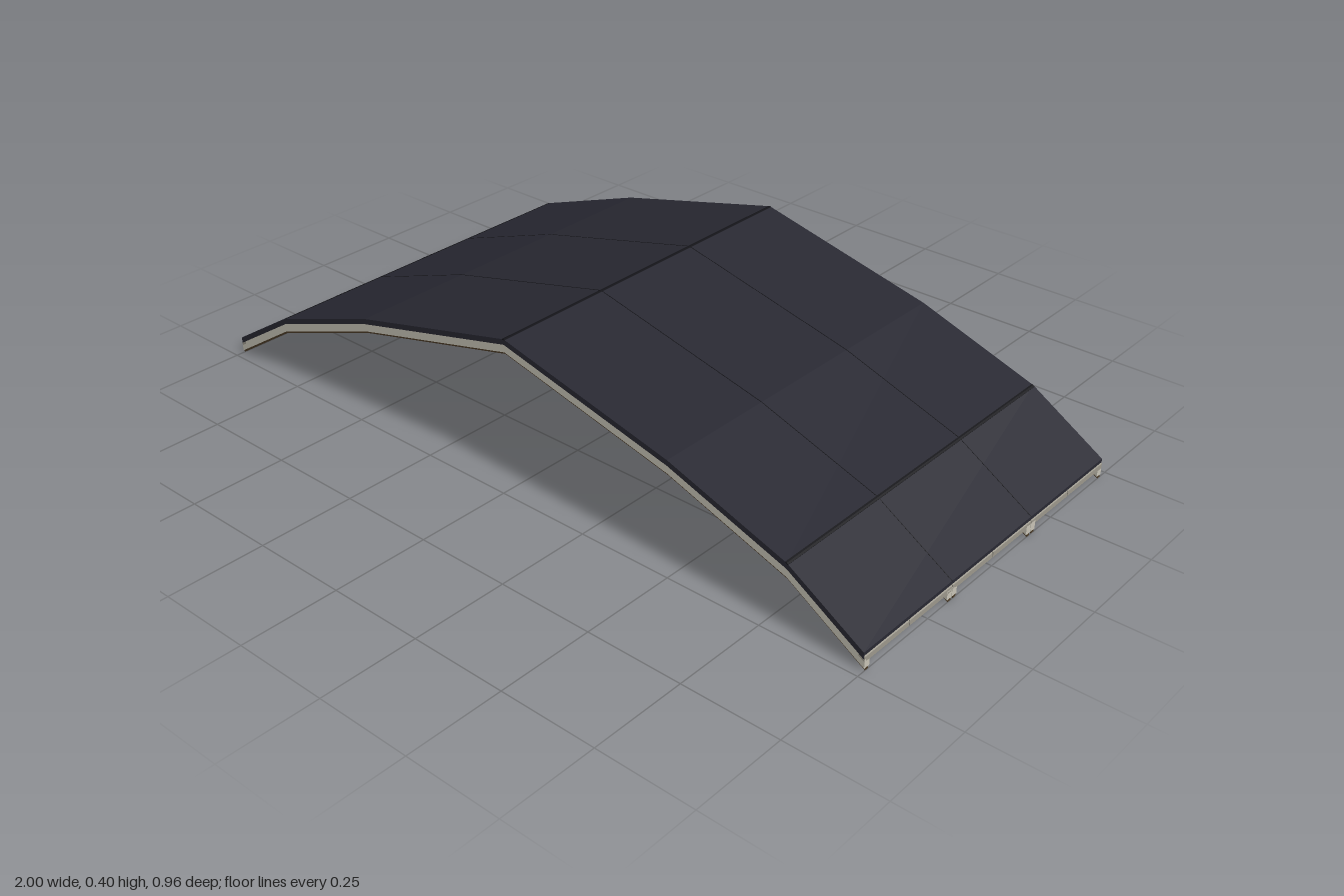
import * as THREE from 'three';

// Roof line: x, top height, vertical stretch of the thickness on that slope
const KNOTS = [
  [-1, 0.045, 1.18], [-0.8, 0.17, 1.1], [-0.48, 0.281, 1.045], [0, 0.397, 1.03],
  [0.48, 0.281, 1.045], [0.8, 0.17, 1.1], [1, 0.045, 1.18],
];
const HALF = 0.48, BAY = 0.32;

function heightAt(x, depth) {
  let i = 0;
  while (i < KNOTS.length - 2 && x > KNOTS[i + 1][0]) i++;
  const a = KNOTS[i], b = KNOTS[i + 1];
  const t = (x - a[0]) / (b[0] - a[0]);
  return a[1] + (b[1] - a[1]) * t - depth * (a[2] + (b[2] - a[2]) * t);
}

// Solid strip that follows the roof line between two depths below the top
function band(d0, d1, z0, z1, x0 = -1, x1 = 1) {
  const xs = [x0, ...KNOTS.map(k => k[0]).filter(x => x > x0 + 1e-6 && x < x1 - 1e-6), x1];
  const lower = xs.map(x => new THREE.Vector2(x, heightAt(x, d1)));
  const upper = xs.map(x => new THREE.Vector2(x, heightAt(x, d0))).reverse();
  const geo = new THREE.ExtrudeGeometry(new THREE.Shape([...lower, ...upper]),
    { depth: z1 - z0, bevelEnabled: false });
  return geo.translate(0, 0, z0);
}

export function createModel() {
  const mat = (name, color) => {
    const m = new THREE.MeshStandardMaterial({ color });
    m.name = name;
    return m;
  };
  const skinMat = mat('dark roof skin', 0x282832);
  const seamMat = mat('black seam', 0x131317);
  const panelMat = mat('light grey panel', 0xbab6a9);
  const ribMat = mat('rib grey', 0x9c988c);
  const beamMat = mat('beam grey', 0xc8c4b6);
  const lipMat = mat('brown trim', 0x4a3a26);
  const rustMat = mat('rust connector', 0x8a5a28);

  const model = new THREE.Group();
  model.name = 'archedRoof';
  const groups = {};
  const add = (group, name, geo, material) => {
    if (!groups[group]) {
      groups[group] = new THREE.Group();
      groups[group].name = group;
      model.add(groups[group]);
    }
    const mesh = new THREE.Mesh(geo, material);
    mesh.name = name;
    groups[group].add(mesh);
  };

  // Outer skin, inner lining and the deeper dark edge at each gable
  add('covering', 'roofSkin', band(0, 0.0075, -HALF, HALF, -0.998, 0.998), skinMat);
  add('covering', 'lining', band(0.0075, 0.015, -HALF + 0.002, HALF - 0.002, -0.997, 0.997), panelMat);
  for (const z of [-HALF, HALF - 0.002]) {
    add('covering', 'gableEdge', band(0.0075, 0.0135, z, z + 0.002, -0.998, 0.998), skinMat);
  }

  // Seams on the skin
  for (const x of [-0.8, 0, 0.8]) {
    add('seams', 'crossSeam', band(-0.0006, 0.002, -HALF, HALF, x - 0.004, x + 0.004), seamMat);
  }
  for (const z of [-BAY / 2, BAY / 2]) {
    add('seams', 'lengthSeam', band(-0.0004, 0.002, z - 0.001, z + 0.001, -0.998, 0.998), seamMat);
  }

  // Arched beams: one at each gable, a pair at each bay joint
  for (const z of [-0.4695, -0.1695, -0.1505, 0.1505, 0.1695, 0.4695]) {
    add('beams', 'beam', band(0.0135, 0.033, z - 0.0088, z + 0.0088), beamMat);
    add('beams', 'beamLip', band(0.033, 0.038, z - 0.0055, z + 0.0055), lipMat);
  }

  for (const bay of [-BAY, 0, BAY]) {
    const z0 = bay - BAY / 2 + 0.02, z1 = bay + BAY / 2 - 0.02;

    // Ribs running along the slope
    for (const dz of [-0.07, 0, 0.07]) {
      add('ribs', 'slopeRib', band(0.015, 0.0185, bay + dz - 0.005, bay + dz + 0.005, -0.985, 0.985), ribMat);
    }

    for (let i = 0; i < KNOTS.length - 1; i++) {
      // Ribs across each slope
      const xa = KNOTS[i][0], xb = KNOTS[i + 1][0];
      const count = Math.round((xb - xa) / 0.1);
      for (let j = 1; j < count; j++) {
        const x = xa + (xb - xa) * j / count;
        add('ribs', 'crossRib', band(0.015, 0.018, z0, z1, x - 0.005, x + 0.005), ribMat);
      }
      // Joint purlins with connector blocks at the folds
      if (i > 0) {
        add('purlins', 'purlin', band(0.015, 0.021, z0, z1, xa - 0.006, xa + 0.006), lipMat);
        for (let j = 0; j < 8; j++) {
          const z = bay - 0.1225 + j * 0.035;
          add('purlins', 'connector', band(0.02, 0.024, z - 0.009, z + 0.009, xa - 0.0065, xa + 0.0065),
            j % 2 ? seamMat : rustMat);
        }
      }
    }

    // Eave boards in two lengths per bay
    for (const side of [-1, 1]) {
      for (const half of [-1, 1]) {
        const c = bay + half * BAY / 4;
        const [a, b] = side < 0 ? [-1, -0.985] : [0.985, 1];
        add('eaves', 'eaveBoard', band(0.0085, 0.0195, c - 0.0785, c + 0.0785, a, b), ribMat);
      }
    }
  }
  return model;
}
